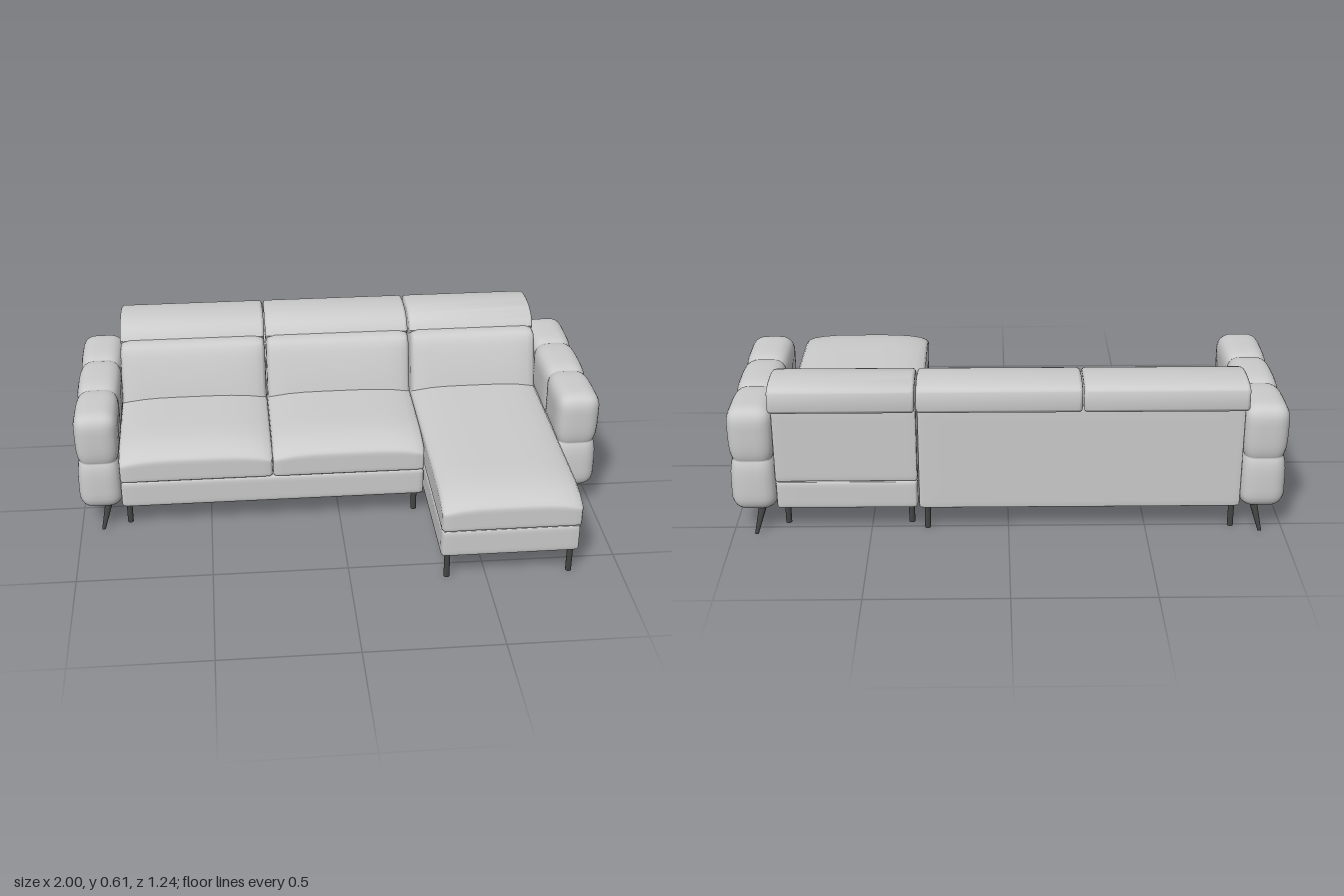
import * as THREE from 'three';
import { mergeVertices, toCreasedNormals } from 'three/addons/utils/BufferGeometryUtils.js';

const fabric = new THREE.MeshStandardMaterial({ color: 0xcccccc });
const dark = new THREE.MeshStandardMaterial({ color: 0x444444 });

// Rounded block between two corners, optionally quilted into cells with sunken seams.
// warp(point, u, v, w) may then reshape it; u, v, w run -1..1 across the block.
function cushion(min, max, { r = 0.015, cells = [1, 1, 1], seam = 0, warp } = {}) {
  const n = 12;
  const geo = new THREE.BoxGeometry(2, 2, 2, ...cells.map(c => c * n));
  geo.deleteAttribute('uv');
  geo.deleteAttribute('normal');
  const pos = geo.attributes.position;
  const half = max.map((m, i) => (m - min[i]) / 2);
  const mid = max.map((m, i) => (m + min[i]) / 2);
  const p = new THREE.Vector3(), core = new THREE.Vector3(), dir = new THREE.Vector3();
  for (let i = 0; i < pos.count; i++) {
    let groove = 0;
    const uvw = [0, 1, 2].map(a => {
      // pack the grid lines closer towards the cell edges
      const t = (pos.getComponent(i, a) + 1) / 2 * cells[a];
      const c = Math.min(Math.floor(t + 1e-6), cells[a] - 1);
      const s = 0.5 - 0.5 * Math.cos((t - c) * Math.PI);
      for (let k = 1; k < cells[a]; k++) {
        const d = Math.abs(c + s - k) * 2 * half[a] / cells[a];
        groove = Math.max(groove, seam * Math.exp(-d / 0.025));
      }
      return (c + s) / cells[a] * 2 - 1;
    });
    p.set(...uvw.map((t, a) => t * half[a]));
    core.set(...uvw.map((t, a) => THREE.MathUtils.clamp(t * half[a], r - half[a], half[a] - r)));
    dir.subVectors(p, core).normalize();
    p.copy(core).addScaledVector(dir, r - groove);
    p.add(dir.set(...mid));
    if (warp) warp(p, ...uvw);
    pos.setXYZ(i, p.x, p.y, p.z);
  }
  const smooth = mergeVertices(geo, 1e-5);
  smooth.computeVertexNormals();
  return smooth;
}

function headrestGeometry(width) {
  const shape = new THREE.Shape();
  shape.moveTo(0.362, 0.547);
  shape.bezierCurveTo(0.385, 0.59, 0.43, 0.611, 0.51, 0.611);
  shape.bezierCurveTo(0.56, 0.611, 0.612, 0.603, 0.616, 0.585);
  shape.lineTo(0.621, 0.525);
  shape.quadraticCurveTo(0.62, 0.508, 0.6, 0.506);
  shape.lineTo(0.52, 0.5);
  shape.lineTo(0.41, 0.505);
  shape.quadraticCurveTo(0.375, 0.515, 0.362, 0.547);
  const bevel = 0.014;
  const geo = new THREE.ExtrudeGeometry(shape, {
    depth: width - 2 * bevel, curveSegments: 10,
    bevelThickness: bevel, bevelSize: bevel, bevelOffset: -bevel, bevelSegments: 4,
  });
  geo.translate(0, 0, bevel - width / 2);
  geo.rotateY(Math.PI / 2);
  return toCreasedNormals(geo, 0.7);
}

export function createModel() {
  const group = new THREE.Group();
  const add = (name, geo, mat = fabric) => {
    const mesh = new THREE.Mesh(geo, mat);
    mesh.name = name;
    group.add(mesh);
    return mesh;
  };

  // Plinths and rear shells
  add('sofaBase', cushion([-0.838, 0.1, -0.54], [0.324, 0.212, 0.172]));
  add('sofaBack', cushion([-0.838, 0.1, -0.55], [0.324, 0.5, -0.36], { r: 0.01 }));
  add('chaiseBase', cushion([0.327, 0.1, -0.55], [0.838, 0.212, 0.608]));
  add('chaiseBack', cushion([0.327, 0.21, -0.55], [0.838, 0.5, -0.36], { r: 0.01 }));

  // One seat, backrest and headrest per place
  const places = [
    { x0: -0.84, x1: -0.258, front: 0.178 },
    { x0: -0.258, x1: 0.325, front: 0.178 },
    { x0: 0.326, x1: 0.84, front: 0.615 },
  ];
  for (const { x0, x1, front } of places) {
    // Crowned seat, dropping towards its sides and front edge
    const crown = (p, u, v, w) => {
      const edge = Math.max(0, (p.z - front + 0.2) / 0.2);
      const up = (v + 1) / 2;
      p.y -= up * (0.022 * u ** 4 + 0.042 * edge ** 3);
    };
    add('seatCushion', cushion([x0, 0.208, -0.34], [x1, 0.352, front], { r: 0.02, warp: crown }));
    // Backrest leaning backwards, slightly bulged
    const lean = (p, u, v, w) => {
      p.z -= (p.y - 0.34) * 0.32;
      if (w > 0) p.z += w * 0.012 * (1 - u ** 4) * (1 - v * v);
    };
    add('backrest', cushion([x0 + 0.002, 0.25, -0.4], [x1 - 0.002, 0.55, -0.245], { r: 0.035, warp: lean }));
    add('headrest', headrestGeometry(x1 - x0 - 0.004)).position.x = (x0 + x1) / 2;
  }

  // Quilted arms with splayed tapered legs
  for (const s of [-1, 1]) {
    const inner = s * 0.832, outer = s;
    add(s > 0 ? 'leftArm' : 'rightArm', cushion(
      [Math.min(inner, outer), 0.095, -0.57], [Math.max(inner, outer), 0.5, 0.18],
      { r: 0.055, cells: [1, 2, 3], seam: 0.013 }));
    for (const [z, dz] of [[0.13, 1], [-0.52, -1]]) {
      const leg = new THREE.CylinderGeometry(0.015, 0.007, 0.11, 12);
      const shear = new THREE.Matrix4().set(
        1, -s * 0.25, 0, 0, 0, 1, 0, 0, 0, -dz * 0.25, 1, 0, 0, 0, 0, 1);
      leg.applyMatrix4(shear);
      add('armLeg', leg, dark).position.set(s * 0.903, 0.055, z + dz * 0.012);
    }
  }

  // Straight legs under the plinths
  const straightLegs = [
    [-0.815, 0.11], [0.295, 0.11], [-0.815, -0.505], [0.295, -0.505],
    [0.355, 0.58], [0.81, 0.58], [0.355, -0.46], [0.81, -0.46],
  ];
  for (const [x, z] of straightLegs) {
    add('straightLeg', new THREE.CylinderGeometry(0.011, 0.011, 0.11, 16), dark).position.set(x, 0.055, z);
  }
  return group;
}
